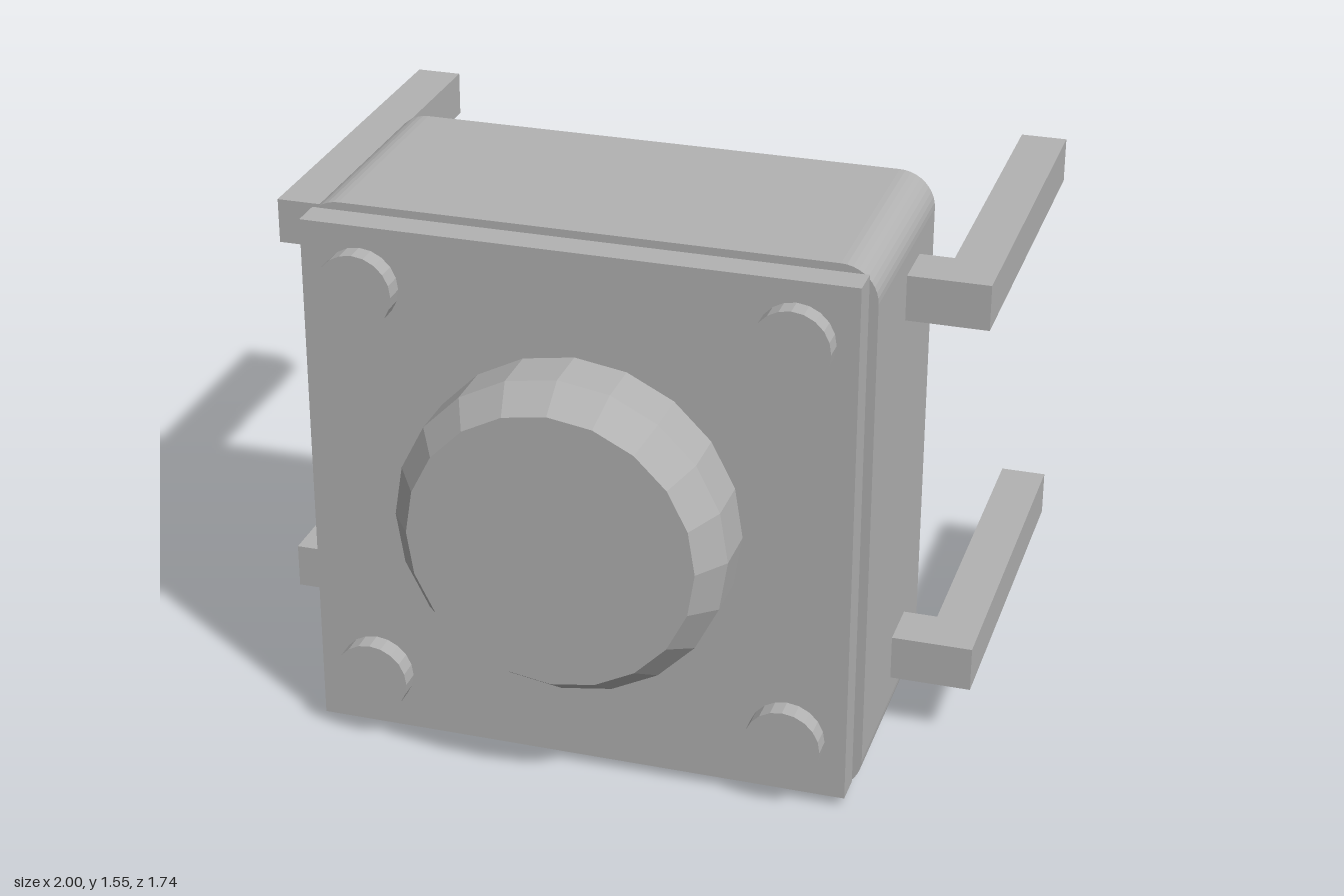
import * as THREE from 'three';

const MID_Y = 0.777;

// Square-section pin bent into an L, lying in the x-z plane
function pinGeometry(side) {
  const outline = [[0.76, 0.07], [0.87, 0.07], [0.87, -0.87], [1, -0.87], [1, 0.22], [0.76, 0.22]];
  const shape = new THREE.Shape(outline.map(([x, z]) => new THREE.Vector2(side * x, -z)));
  return new THREE.ExtrudeGeometry(shape, { depth: 0.128, bevelEnabled: false }).rotateX(-Math.PI / 2);
}

function roundedSquare(half, r) {
  const s = new THREE.Shape();
  const c = half - r;
  s.absarc(c, c, r, 0, Math.PI / 2);
  s.absarc(-c, c, r, Math.PI / 2, Math.PI);
  s.absarc(-c, -c, r, Math.PI, Math.PI * 1.5);
  s.absarc(c, -c, r, Math.PI * 1.5, Math.PI * 2);
  s.closePath();
  return s;
}

export function createModel() {
  const grey = new THREE.MeshStandardMaterial({ color: 0xb2b2b2 });
  grey.name = 'grey';
  grey.flatShading = true;

  const model = new THREE.Group();
  model.name = 'pushSwitch';
  const add = (name, geometry, x, y, z) => {
    const mesh = new THREE.Mesh(geometry, grey);
    mesh.name = name;
    mesh.position.set(x, y, z);
    model.add(mesh);
  };

  // Housing with rounded corners and square front plate
  add('housing', new THREE.ExtrudeGeometry(roundedSquare(0.775, 0.1),
    { depth: 0.66, bevelEnabled: false, curveSegments: 5 }), 0, MID_Y, -0.108);
  add('frontPlate', new THREE.BoxGeometry(1.5, 1.5, 0.088), 0, MID_Y + 0.003, 0.595);

  // Round button with a chamfered rim
  const profile = [[0, 0], [0.456, 0], [0.456, 0.15], [0.393, 0.238], [0, 0.238]];
  add('button', new THREE.LatheGeometry(profile.map(([r, h]) => new THREE.Vector2(r, h)), 20)
    .rotateX(Math.PI / 2), 0, MID_Y + 0.004, 0.63);

  // Corner studs and pins
  for (const sx of [-1, 1]) {
    for (const sy of [-1, 1]) {
      add('stud', new THREE.CylinderGeometry(0.105, 0.105, 0.07, 20).rotateX(Math.PI / 2),
        sx * 0.586, MID_Y + 0.004 + sy * 0.584, 0.66);
      add('pin', pinGeometry(sx), 0, sy > 0 ? 1.263 : 0.17, 0);
    }
  }
  return model;
}
